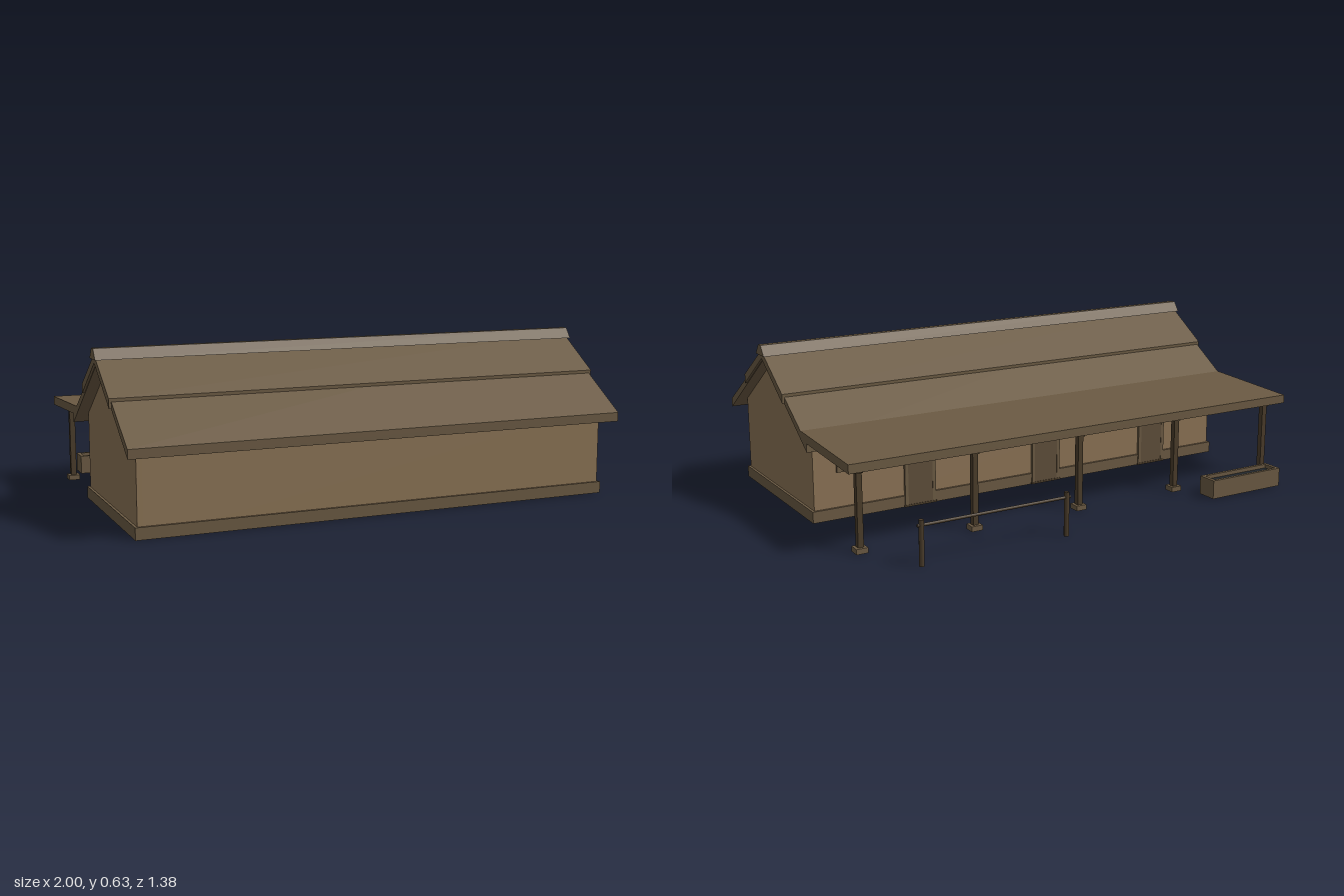
import * as THREE from 'three';

const mat = (name, color) => new THREE.MeshStandardMaterial({ name, color });

export function createModel() {
  const root = new THREE.Group();
  root.name = 'longHouse';
  const wallMat = mat('adobeWall', 0x8b7355);
  const roofMat = mat('weatheredWood', 0x6b5a43);
  const postMat = mat('darkTimber', 0x4a3c2a);
  const doorMat = mat('doorPlanks', 0x5e4e3a);
  const glassMat = mat('darkOpening', 0x231d17);
  const waterMat = mat('troughWater', 0x22272b);

  const add = (name, geometry, material, x = 0, y = 0, z = 0, parent = root) => {
    const mesh = new THREE.Mesh(geometry, material);
    mesh.name = name;
    mesh.position.set(x, y, z);
    parent.add(mesh);
    return mesh;
  };
  // Box given by its centre in x and z and its bottom height
  const box = (name, w, h, d, material, x, y, z, parent) =>
    add(name, new THREE.BoxGeometry(w, h, d), material, x, y + h / 2, z, parent);
  // Prism running along x from a cross-section of [z, y] points
  const prism = (name, points, length, material, x = 0) => {
    const shape = new THREE.Shape(points.map(([z, y]) => new THREE.Vector2(-z, y)));
    const geometry = new THREE.ExtrudeGeometry(shape, { depth: length, bevelEnabled: false });
    geometry.translate(0, 0, -length / 2);
    geometry.rotateY(Math.PI / 2);
    return add(name, geometry, material, x);
  };

  const ridgeZ = 0.28;

  // Walls, open underneath
  const gable = [[0.625, 0], [0.625, 0.338], [ridgeZ, 0.57], [-0.068, 0.338], [-0.068, 0]];
  for (const s of [-1, 1]) prism('gableWall', gable, 0.02, wallMat, s * 0.93);
  box('frontWall', 1.84, 0.335, 0.02, wallMat, 0, 0, 0.615);
  box('backWall', 1.84, 0.335, 0.02, wallMat, 0, 0, -0.058);

  // Foundation band around the walls
  for (const z of [0.622, -0.065]) box('foundationSide', 1.9, 0.045, 0.026, roofMat, 0, 0, z);
  for (const x of [-0.937, 0.937]) box('foundationEnd', 0.026, 0.045, 0.69, roofMat, x, 0, 0.28);

  // Two overlapping roof layers on each slope
  for (const s of [-1, 1]) {
    const slope = (pts) => pts.map(([d, y]) => [ridgeZ + s * d, y]);
    prism('lowerRoof', slope([[0.41, 0.295], [0.41, 0.33], [0, 0.592], [0, 0.57]]), 1.97, roofMat);
    prism('upperRoof', slope([[0.205, 0.437], [0.205, 0.473], [0, 0.606], [0, 0.574]]), 1.988, roofMat);
  }
  prism('ridgeCap', [[0.322, 0.588], [0.293, 0.628], [0.267, 0.628], [0.238, 0.588]], 2, roofMat);

  // Porch roof, beam and posts
  prism('porchRoof', [[-0.075, 0.365], [-0.09, 0.365], [-0.505, 0.345], [-0.505, 0.311], [-0.09, 0.331], [-0.075, 0.34]], 1.97, roofMat);
  box('porchBeam', 1.88, 0.016, 0.02, postMat, 0, 0.3, -0.445);
  for (let i = -2; i <= 2; i++) {
    const post = new THREE.Group();
    post.name = 'porchPost';
    post.position.set(i * 0.4625, 0, -0.445);
    root.add(post);
    box('postFoot', 0.045, 0.02, 0.045, roofMat, 0, 0, 0, post);
    box('postShaft', 0.022, 0.295, 0.022, postMat, 0, 0.02, 0, post);
    box('postCap', 0.03, 0.012, 0.03, postMat, 0, 0.293, 0, post);
  }

  // Doors in the porch wall
  for (const x of [0.5, -0.08, -0.62]) {
    box('door', 0.115, 0.285, 0.006, doorMat, x, 0.005, -0.078);
    for (const s of [-1, 1]) box('doorJamb', 0.014, 0.295, 0.01, roofMat, x + s * 0.06, 0, -0.077);
    box('doorLintel', 0.15, 0.016, 0.012, postMat, x, 0.29, -0.074);
    box('doorSill', 0.14, 0.008, 0.014, postMat, x, 0, -0.076);
  }

  // Windows in the porch wall
  for (const x of [0.78, -0.385]) {
    box('windowPane', 0.11, 0.08, 0.006, glassMat, x, 0.19, -0.069);
    for (const s of [-1, 1]) box('windowSide', 0.013, 0.09, 0.01, roofMat, x + s * 0.06, 0.185, -0.072);
    for (const y of [0.183, 0.265]) box('windowRail', 0.133, 0.012, 0.01, roofMat, x, y, -0.072);
    box('windowBarVertical', 0.008, 0.08, 0.006, roofMat, x, 0.19, -0.072);
    box('windowBarHorizontal', 0.11, 0.008, 0.006, roofMat, x, 0.226, -0.072);
  }

  // Water trough
  const trough = new THREE.Group();
  trough.name = 'trough';
  trough.position.set(-0.698, 0, -0.58);
  root.add(trough);
  for (const s of [-1, 1]) {
    box('troughSide', 0.345, 0.075, 0.013, roofMat, 0, 0, s * 0.0355, trough);
    box('troughEnd', 0.015, 0.075, 0.058, roofMat, s * 0.165, 0, 0, trough);
  }
  box('troughFloor', 0.315, 0.01, 0.058, roofMat, 0, 0, 0, trough);
  box('water', 0.315, 0.05, 0.058, waterMat, 0, 0.01, 0, trough);

  // Hitching rail
  for (const x of [0.21, 0.8]) {
    add('hitchPost', new THREE.CylinderGeometry(0.01, 0.01, 0.168, 8), postMat, x, 0.084, -0.68);
  }
  const rail = add('hitchRail', new THREE.CylinderGeometry(0.006, 0.006, 0.62, 8), postMat, 0.505, 0.148, -0.68);
  rail.rotation.z = Math.PI / 2;

  return root;
}
